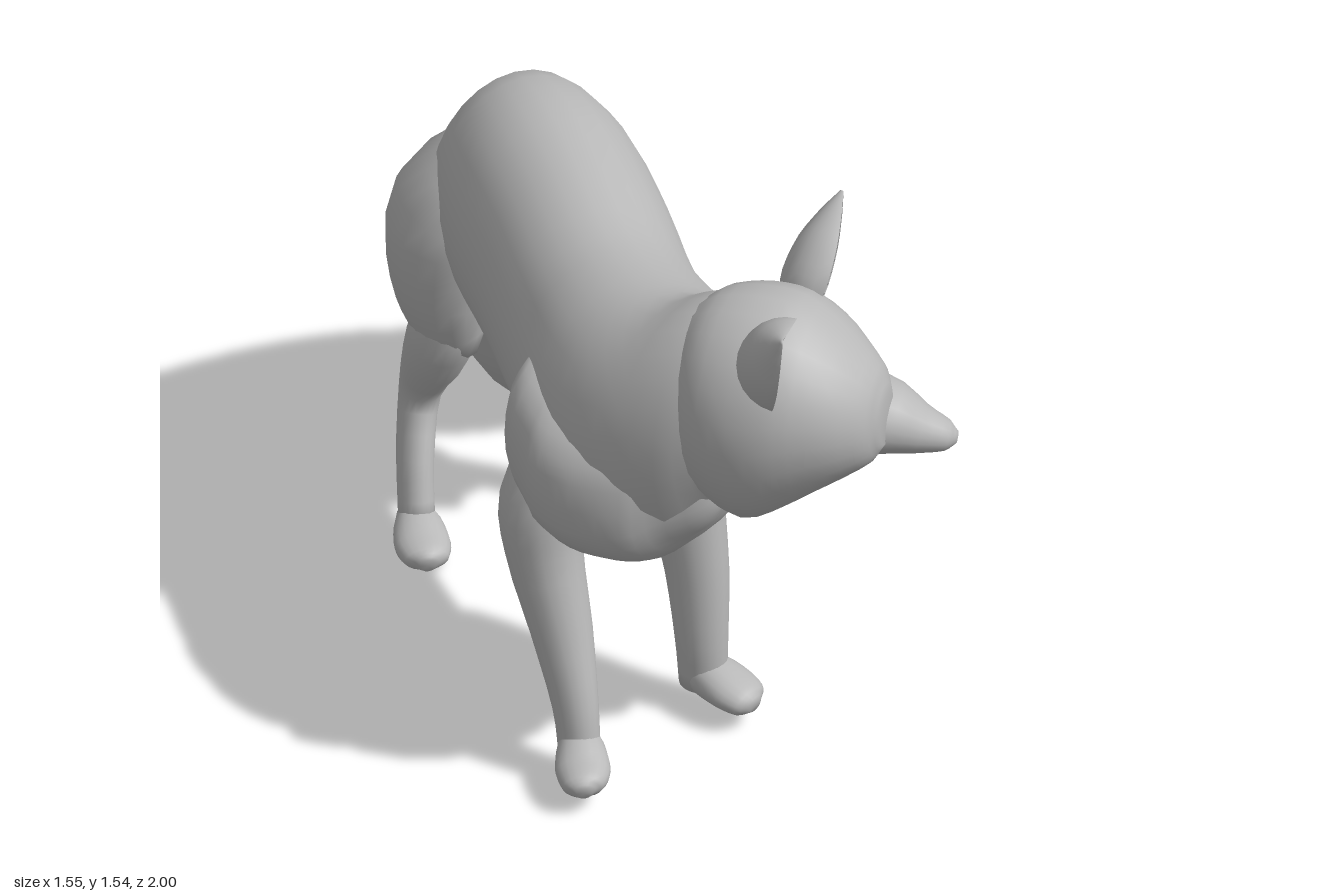
import * as THREE from 'three';

const UP = [0, 1, 0], BODY_FWD = [-0.5, 0, 0.87];
const ellipse = k => [Math.cos(k * 2 * Math.PI), Math.sin(k * 2 * Math.PI)];
// Rounded box section
const boxy = k => ellipse(k).map(v => Math.sign(v) * Math.abs(v) ** 0.78);
// Hollow crescent section, open towards its second axis
const crescent = k => {
  const a = k < 0.5 ? Math.PI * (1 + 2 * k) : Math.PI * (3 - 2 * k);
  return [Math.cos(a), Math.sin(a) * (k < 0.5 ? 1 : 0.5) + 0.3];
};

// Smooth closed skin through rings [x, y, z, sideRadius, refRadius]
function loft(rings, ref, { section = ellipse, sides = 20, floor = -1, hem = 0, upright = false } = {}) {
  const path = new THREE.CatmullRomCurve3(rings.map(r => new THREE.Vector3(r[0], r[1], r[2])));
  const size = new THREE.CatmullRomCurve3(rings.map((r, i) => new THREE.Vector3(r[3], r[4], i * 0.1)));
  const R = new THREE.Vector3(...ref).normalize();
  const rows = (rings.length - 1) * 3, pos = [], idx = [];
  for (let i = 0; i <= rows; i++) {
    const c = path.getPoint(i / rows), t = path.getTangent(i / rows), s = size.getPoint(i / rows);
    if (upright) t.setY(0).normalize();
    const side = R.clone().cross(t).normalize(), up = t.clone().cross(side);
    for (let j = 0; j < sides; j++) {
      const [a, b] = section(j / sides);
      const p = c.clone().addScaledVector(side, a * s.x).addScaledVector(up, b * s.y);
      // Ragged fur edge on the last ring
      if (hem && i === rows) p.addScaledVector(t, hem * (j % 4 < 2 ? 1 : -1));
      pos.push(p.x, Math.max(p.y, floor), p.z);
    }
  }
  for (let i = 0; i < rows; i++) for (let j = 0; j < sides; j++) {
    const a = i * sides + j, b = i * sides + (j + 1) % sides;
    idx.push(a, b, b + sides, a, b + sides, a + sides);
  }
  for (const last of [false, true]) {
    const start = last ? rows * sides : 0, r = rings[last ? rings.length - 1 : 0], n = pos.length / 3;
    pos.push(r[0], Math.max(r[1], floor), r[2]);
    for (let j = 0; j < sides; j++) {
      const a = start + j, b = start + (j + 1) % sides;
      idx.push(n, last ? a : b, last ? b : a);
    }
  }
  const g = new THREE.BufferGeometry();
  g.setAttribute('position', new THREE.Float32BufferAttribute(pos, 3));
  g.setIndex(idx);
  g.computeVertexNormals();
  return g;
}

export function createModel() {
  const fox = new THREE.Group();
  fox.name = 'fox';
  const grey = new THREE.MeshStandardMaterial({ color: 0xb8b8b8 });
  grey.name = 'grey fur';
  const add = (name, rings, ref, options) => {
    const mesh = new THREE.Mesh(loft(rings, ref, options), grey);
    mesh.name = name;
    fox.add(mesh);
  };

  // Trunk from rump to neck
  add('body', [
    [0.24, 0.99, -0.68, 0.06, 0.09], [0.22, 1.0, -0.645, 0.17, 0.2], [0.18, 1.025, -0.57, 0.225, 0.29],
    [0.08, 1.02, -0.4, 0.26, 0.335], [-0.05, 1.0, -0.2, 0.26, 0.33], [-0.19, 0.965, 0, 0.26, 0.32],
    [-0.3, 0.975, 0.18, 0.285, 0.315], [-0.365, 0.985, 0.32, 0.295, 0.335], [-0.38, 1.03, 0.43, 0.265, 0.355],
    [-0.37, 1.12, 0.52, 0.225, 0.29], [-0.35, 1.16, 0.62, 0.17, 0.24],
  ], UP, { sides: 28, upright: true });

  // Chest and shoulder fur
  add('chest', [
    [-0.37, 0.95, 0.01, 0.16, 0.16], [-0.38, 0.9, 0.06, 0.25, 0.2], [-0.38, 0.875, 0.14, 0.31, 0.215],
    [-0.38, 0.86, 0.24, 0.325, 0.225], [-0.38, 0.86, 0.34, 0.3, 0.225], [-0.38, 0.87, 0.42, 0.255, 0.21],
    [-0.38, 0.91, 0.5, 0.17, 0.15], [-0.37, 0.94, 0.54, 0.09, 0.08],
  ], UP, { section: boxy, sides: 28, upright: true });

  // Head with cheeks, then muzzle
  add('head', [
    [-0.41, 1.17, 0.42, 0.13, 0.19], [-0.39, 1.16, 0.5, 0.225, 0.27], [-0.36, 1.145, 0.6, 0.26, 0.31],
    [-0.32, 1.17, 0.7, 0.25, 0.275], [-0.28, 1.175, 0.8, 0.2, 0.2], [-0.245, 1.16, 0.88, 0.12, 0.125],
    [-0.235, 1.15, 0.905, 0.06, 0.07],
  ], UP, { sides: 24, upright: true });
  add('muzzle', [
    [-0.24, 1.1, 0.74, 0.12, 0.1], [-0.18, 1.1, 0.83, 0.115, 0.1], [-0.125, 1.065, 0.92, 0.07, 0.062],
    [-0.085, 1.045, 0.975, 0.042, 0.038], [-0.07, 1.04, 0.995, 0.015, 0.015],
  ], UP);

  // Hollow pointed ears
  const ear = (name, base, tip, facing) => {
    const rings = [[0, 0.1], [0.25, 0.118], [0.55, 0.1], [0.82, 0.052], [1, 0.008]].map(([t, w]) =>
      [...base.map((v, k) => v + (tip[k] - v) * t), w, w]);
    add(name, rings, facing, { section: crescent, sides: 24 });
  };
  ear('leftEar', [-0.17, 1.31, 0.6], [0.02, 1.545, 0.57], [0.6, 0, 0.8]);
  ear('rightEar', [-0.43, 1.31, 0.68], [-0.57, 1.54, 0.84], [0.25, 0.1, 0.95]);

  // Bushy tail flowing out of the rump
  add('tail', [
    [0.14, 1.16, -0.46, 0.1, 0.1], [0.19, 1.07, -0.565, 0.19, 0.17], [0.285, 0.9, -0.655, 0.205, 0.18],
    [0.41, 0.67, -0.735, 0.2, 0.19], [0.5, 0.46, -0.775, 0.21, 0.21], [0.565, 0.3, -0.79, 0.21, 0.21],
    [0.61, 0.17, -0.8, 0.175, 0.18], [0.64, 0.09, -0.81, 0.12, 0.125],
  ], BODY_FWD, { sides: 24, hem: 0.006 });

  // Front legs and paws
  add('leftFrontLeg', [
    [-0.18, 0.9, 0.19, 0.07, 0.08], [-0.155, 0.72, 0.22, 0.09, 0.1], [-0.165, 0.58, 0.23, 0.085, 0.1],
    [-0.175, 0.38, 0.27, 0.073, 0.083], [-0.19, 0.2, 0.295, 0.062, 0.068], [-0.19, 0.07, 0.3, 0.055, 0.062],
  ], [0, 0, 1], { floor: 0.05 });
  add('leftFrontPaw', [
    [-0.19, 0.1, 0.26, 0.04, 0.04], [-0.19, 0.1, 0.32, 0.062, 0.055], [-0.195, 0.09, 0.4, 0.07, 0.045],
    [-0.2, 0.08, 0.45, 0.055, 0.035], [-0.2, 0.075, 0.47, 0.02, 0.018],
  ], UP, { floor: 0.05 });
  add('rightFrontLeg', [
    [-0.47, 0.9, 0.1, 0.08, 0.09], [-0.54, 0.72, 0.07, 0.1, 0.11], [-0.555, 0.58, 0.09, 0.095, 0.1],
    [-0.575, 0.38, 0.16, 0.076, 0.08], [-0.61, 0.2, 0.23, 0.055, 0.062], [-0.625, 0.07, 0.255, 0.05, 0.055],
  ], [-0.3, 0, 0.95], { floor: 0.05 });
  add('rightFrontPaw', [
    [-0.59, 0.1, 0.22, 0.04, 0.04], [-0.635, 0.1, 0.265, 0.06, 0.055], [-0.69, 0.085, 0.315, 0.068, 0.045],
    [-0.735, 0.08, 0.35, 0.05, 0.035], [-0.75, 0.075, 0.365, 0.02, 0.018],
  ], UP, { floor: 0.05 });

  // Furry thighs with ragged hems
  add('leftThigh', [
    [0.12, 1.14, -0.46, 0.1, 0.13], [0.235, 0.96, -0.44, 0.155, 0.19], [0.27, 0.75, -0.375, 0.135, 0.17],
    [0.275, 0.56, -0.36, 0.1, 0.14],
  ], BODY_FWD, { hem: 0.01 });
  add('rightThigh', [
    [0.12, 1.14, -0.53, 0.1, 0.13], [0.025, 0.96, -0.64, 0.15, 0.18], [0.0, 0.76, -0.655, 0.125, 0.155],
    [0.03, 0.6, -0.66, 0.085, 0.12],
  ], BODY_FWD, { hem: 0.01 });

  // Hind legs and paws
  add('leftHindLeg', [
    [0.26, 0.7, -0.35, 0.07, 0.09], [0.265, 0.55, -0.375, 0.08, 0.095], [0.3, 0.37, -0.465, 0.052, 0.065],
    [0.33, 0.2, -0.4, 0.045, 0.056], [0.335, 0.06, -0.35, 0.045, 0.05],
  ], [0, 0, 1]);
  add('leftHindPaw', [
    [0.325, 0.055, -0.39, 0.04, 0.04], [0.335, 0.055, -0.34, 0.06, 0.05], [0.345, 0.045, -0.27, 0.075, 0.043],
    [0.35, 0.04, -0.225, 0.055, 0.035], [0.355, 0.035, -0.205, 0.02, 0.02],
  ], UP, { floor: 0.005 });
  add('rightHindLeg', [
    [0.0, 0.74, -0.62, 0.07, 0.09], [-0.01, 0.58, -0.655, 0.085, 0.09], [0.04, 0.36, -0.755, 0.052, 0.06],
    [-0.025, 0.2, -0.72, 0.045, 0.055], [-0.07, 0.06, -0.68, 0.045, 0.05],
  ], BODY_FWD);
  add('rightHindPaw', [
    [-0.05, 0.055, -0.71, 0.04, 0.04], [-0.08, 0.055, -0.67, 0.06, 0.05], [-0.13, 0.045, -0.615, 0.07, 0.043],
    [-0.165, 0.04, -0.575, 0.055, 0.035], [-0.18, 0.035, -0.56, 0.02, 0.02],
  ], UP, { floor: 0.005 });

  return fox;
}
